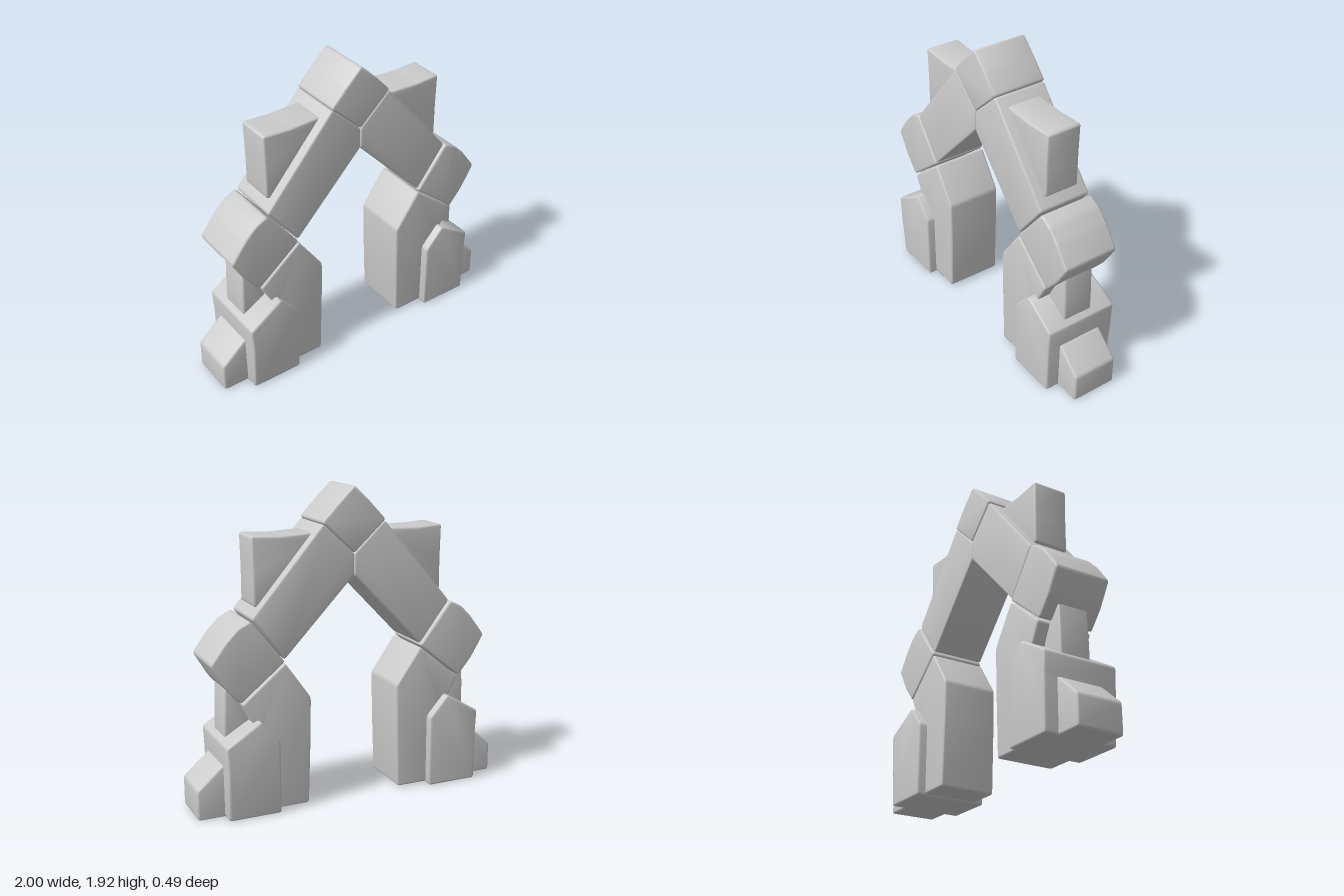
import * as THREE from 'three';
import { toCreasedNormals } from 'three/addons/utils/BufferGeometryUtils.js';

const material = new THREE.MeshStandardMaterial({ color: 0xcccccc });

// Closed outline with every corner softened
function roundedOutline(points, radius) {
  const pts = points.map(([x, y]) => new THREE.Vector2(x, y));
  const toward = (a, b) => a.clone().lerp(b, Math.min(0.45, radius / a.distanceTo(b)));
  const shape = new THREE.Shape();
  pts.forEach((p, i) => {
    const a = toward(p, pts[(i + pts.length - 1) % pts.length]);
    const b = toward(p, pts[(i + 1) % pts.length]);
    if (i === 0) shape.moveTo(a.x, a.y);
    else shape.lineTo(a.x, a.y);
    shape.quadraticCurveTo(p.x, p.y, b.x, b.y);
  });
  shape.closePath();
  return shape;
}

// Soft-edged stone: outline in x/y, reaching halfDepth to both sides in z
function stone(name, points, halfDepth, reshape) {
  const bevel = 0.012;
  const geometry = new THREE.ExtrudeGeometry(roundedOutline(points, 0.017), {
    depth: 2 * (halfDepth - bevel),
    curveSegments: 3,
    bevelThickness: bevel,
    bevelSize: bevel,
    bevelOffset: -bevel,
    bevelSegments: 3,
  });
  geometry.translate(0, 0, bevel - halfDepth);
  if (reshape) {
    const pos = geometry.attributes.position;
    const v = new THREE.Vector3();
    for (let i = 0; i < pos.count; i++) {
      reshape(v.fromBufferAttribute(pos, i));
      pos.setXYZ(i, v.x, v.y, v.z);
    }
  }
  const mesh = new THREE.Mesh(toCreasedNormals(geometry, 0.75), material);
  mesh.name = name;
  return mesh;
}

// One side of the arch, on +x
function createSide(name) {
  const side = new THREE.Group();
  side.name = name;
  side.add(
    stone('archBeam', [[0, 1.4], [0.45, 0.93], [0.65, 1.19], [0.2, 1.715], [0, 1.53]], 0.172),
    stone('shoulderStone',
      [[0.45, 0.92], [0.73, 0.695], [0.82, 0.8], [0.907, 0.945], [0.81, 1.075], [0.74, 1.145], [0.66, 1.185]], 0.18),
    stone('innerLeg',
      [[0.305, 0.01], [0.56, 0.01], [0.62, 0.5], [0.72, 0.69], [0.45, 0.912], [0.35, 0.77], [0.287, 0.68], [0.29, 0.45]], 0.18),
    // Outer rear shoulder of the foot swells slightly
    stone('footStone', [[0.505, 0], [0.835, 0], [0.838, 0.32], [0.845, 0.46], [0.625, 0.59], [0.505, 0.455]], 0.233,
      (v) => { if (v.z < 0 && v.x > 0.75 && v.y > 0.3) v.z *= 1.06; }),
    stone('outerStep', [[0.78, 0], [1, 0], [1, 0.185], [0.84, 0.325], [0.78, 0.325]], 0.147),
    stone('strut', [[0.62, 0.45], [0.81, 0.45], [0.808, 0.6], [0.8, 0.79], [0.7, 0.72]], 0.1),
    stone('upperBlock', [[0.22, 1.6], [0.53, 1.24], [0.615, 1.25], [0.615, 1.45], [0.62, 1.66], [0.45, 1.65], [0.22, 1.66]], 0.112),
  );
  return side;
}

export function createModel() {
  const model = new THREE.Group();
  model.name = 'stoneArch';
  const leftSide = createSide('leftSide');
  // The opposite side is the same stones turned half a revolution
  const rightSide = createSide('rightSide');
  rightSide.rotation.y = Math.PI;
  model.add(leftSide, rightSide);
  model.add(stone('keystone',
    [[0, 1.53], [0.205, 1.72], [0.11, 1.835], [0, 1.94], [-0.11, 1.835], [-0.205, 1.72]], 0.175,
    // Crown sags a little toward its ends
    (v) => { if (v.y > 1.8) v.y -= 0.012 * (v.z / 0.175) ** 2; }));
  return model;
}
